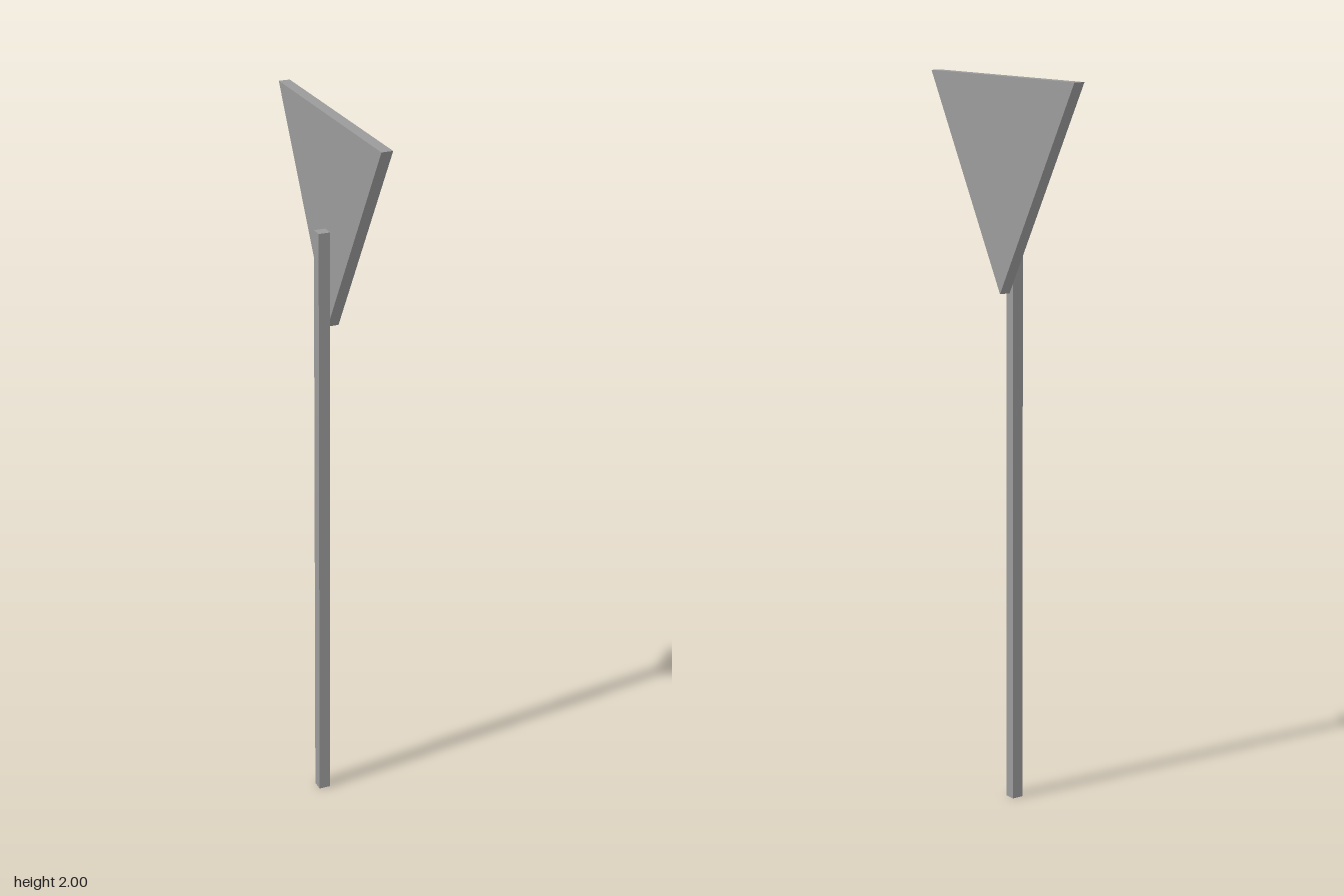
import * as THREE from 'three';

export function createModel() {
  const group = new THREE.Group();
  const material = new THREE.MeshStandardMaterial({ color: 0x9b9b9b, flatShading: true });

  // Square post, standing just behind the plate
  const postHeight = 1.692;
  const post = new THREE.Mesh(new THREE.BoxGeometry(0.032, postHeight, 0.032), material);
  post.name = 'post';
  post.position.set(-0.016, postHeight / 2, 0);
  group.add(post);

  // Triangular sign plate, point down, facing +x
  const triangle = new THREE.Shape([
    new THREE.Vector2(0, 1.425),
    new THREE.Vector2(0.333, 2),
    new THREE.Vector2(-0.333, 2),
  ]);
  const plateGeometry = new THREE.ExtrudeGeometry(triangle, { depth: 0.031, bevelEnabled: false });
  plateGeometry.rotateY(Math.PI / 2);
  const plate = new THREE.Mesh(plateGeometry, material);
  plate.name = 'signPlate';
  group.add(plate);

  return group;
}
